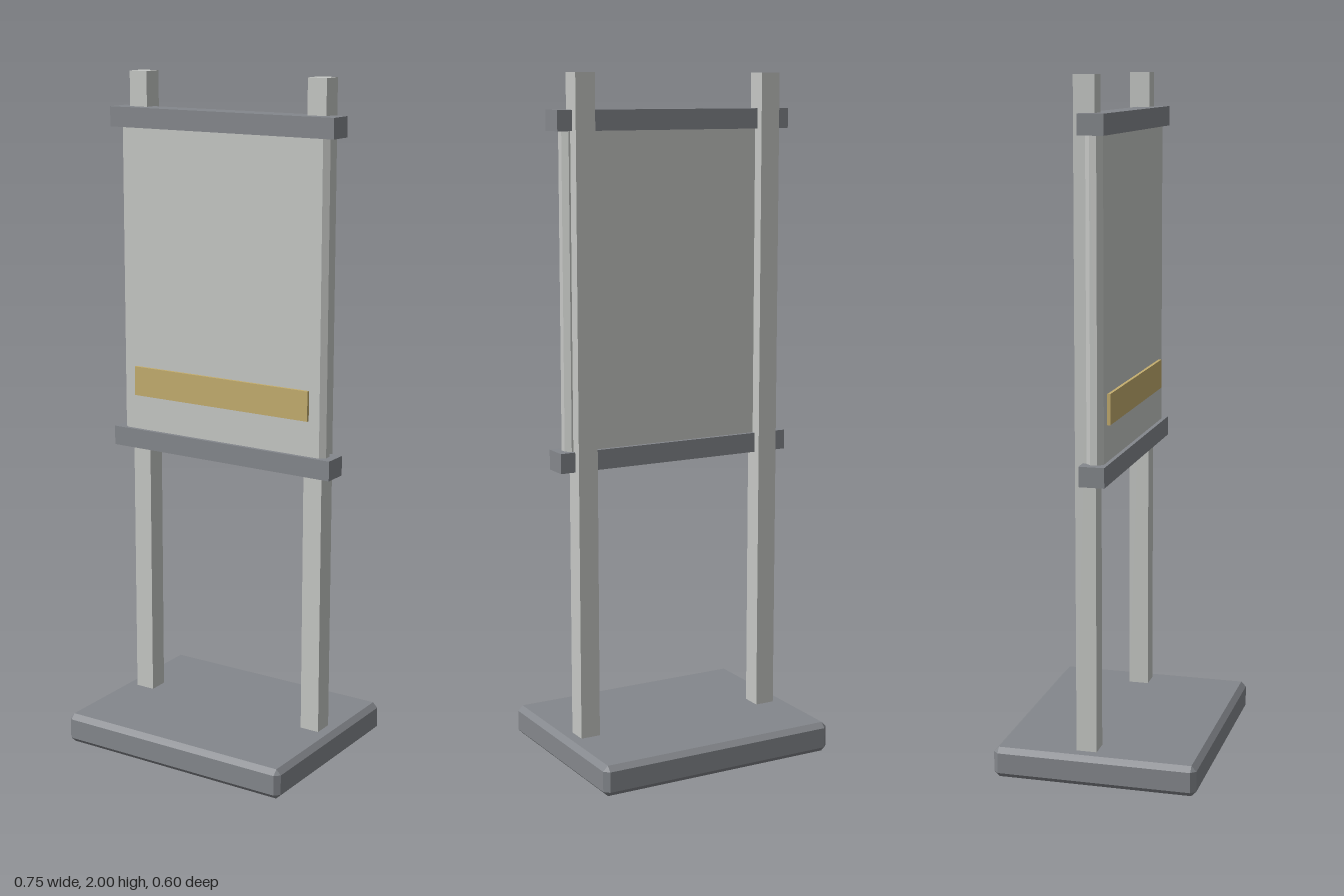
import * as THREE from 'three';
import { ConvexGeometry } from 'three/addons/geometries/ConvexGeometry.js';

const makeMaterial = (name, color) => {
  const material = new THREE.MeshStandardMaterial({ color });
  material.name = name;
  return material;
};

// Box with every edge cut at 45 degrees: each corner becomes three points.
function chamferedBox(width, height, depth, cut) {
  const points = [];
  for (const sx of [-1, 1]) for (const sy of [-1, 1]) for (const sz of [-1, 1]) {
    for (let outer = 0; outer < 3; outer++) {
      const [x, y, z] = [width, height, depth].map((s, i) => s / 2 - (i === outer ? 0 : cut));
      points.push(new THREE.Vector3(sx * x, sy * y, sz * z));
    }
  }
  return new ConvexGeometry(points);
}

export function createModel() {
  const model = new THREE.Group();
  model.name = 'signStand';
  const lightGrey = makeMaterial('light grey', 0xc5c7c4);
  const darkGrey = makeMaterial('dark grey', 0x84878c);
  const gold = makeMaterial('gold', 0xc3ad6e);

  const add = (name, geometry, material, x, y, z) => {
    const mesh = new THREE.Mesh(geometry, material);
    mesh.name = name;
    mesh.position.set(x, y, z);
    model.add(mesh);
  };

  // Heavy base slab
  add('base', chamferedBox(0.75, 0.09, 0.6, 0.015), darkGrey, 0, 0.045, 0);

  // Two upright posts behind the panel
  const postGeometry = new THREE.BoxGeometry(0.06, 1.92, 0.06);
  add('leftPost', postGeometry, lightGrey, 0.3, 1.04, -0.03);
  add('rightPost', postGeometry, lightGrey, -0.3, 1.04, -0.03);

  // Sign panel, its top and bottom ends hidden in the rails
  add('panel', chamferedBox(0.7, 0.98, 0.05, 0.015), lightGrey, 0, 1.39, 0);

  // Rails across the top and bottom of the panel
  const railGeometry = new THREE.BoxGeometry(0.75, 0.058, 0.074);
  add('topRail', railGeometry, darkGrey, 0, 1.869, 0);
  add('bottomRail', railGeometry, darkGrey, 0, 0.909, 0);

  // Gold plate on the panel front
  add('plate', new THREE.BoxGeometry(0.6, 0.088, 0.014), gold, 0, 1.087, 0.027);

  return model;
}
